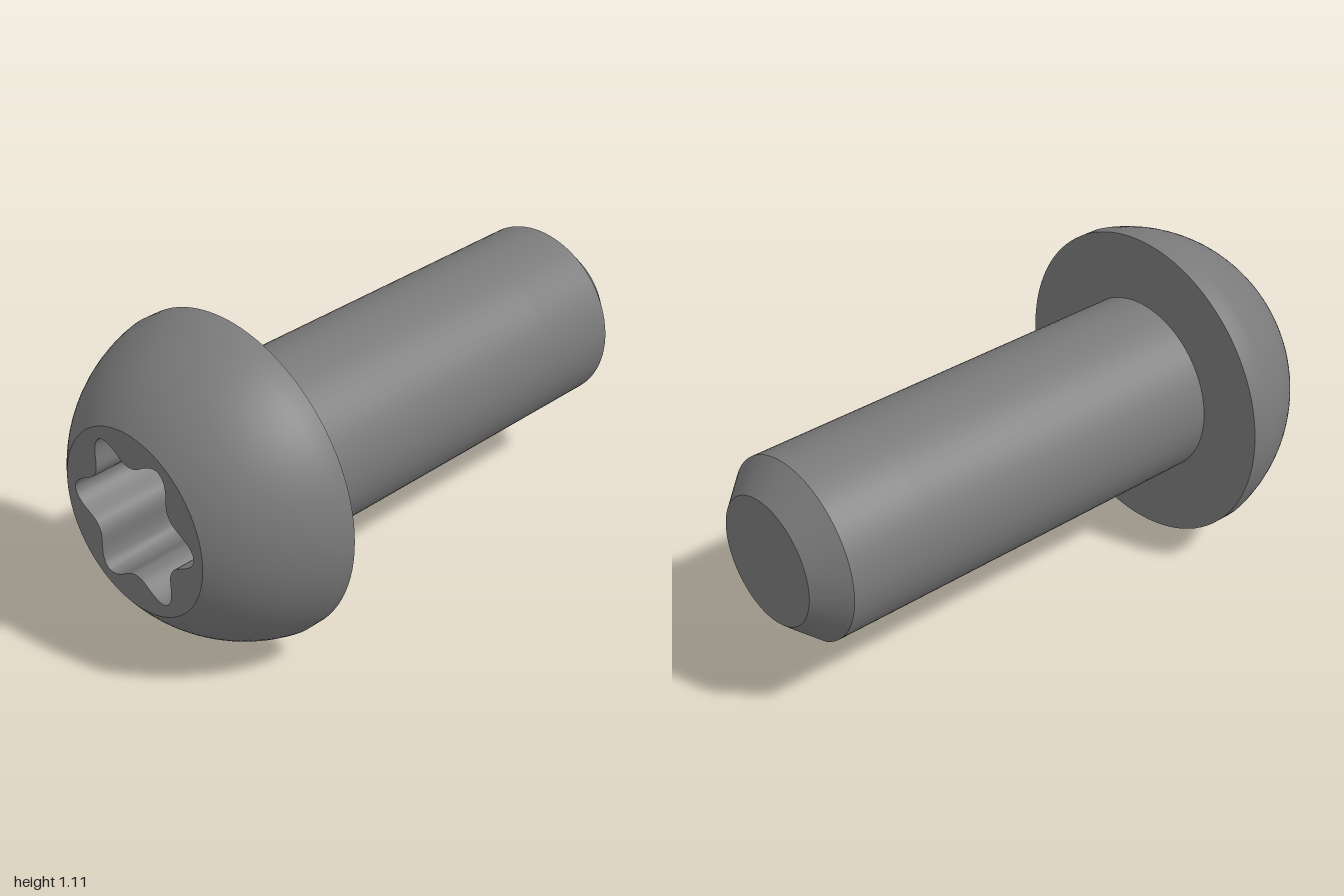
import * as THREE from 'three';
import { toCreasedNormals } from 'three/addons/utils/BufferGeometryUtils.js';

const SHANK_R = 0.317, TIP_R = 0.222, HEAD_R = 0.555, FACE_R = 0.32;
const HEAD_X = -0.595, CHAMFER_X = 0.9;
// elliptical pocket cut upward into the underside of the shank
const POCKET = { x: 0.6, a: 0.4, b: 0.226, top: -0.015 };

// shank radius at a position along the axis
const radiusAt = (x) => x <= CHAMFER_X ? SHANK_R
  : THREE.MathUtils.lerp(SHANK_R, TIP_R, (x - CHAMFER_X) / (1 - CHAMFER_X));

// point on the shank skin; angle is measured from straight down
const skin = (x, angle) => {
  const r = radiusAt(x);
  return [x, -r * Math.cos(angle), r * Math.sin(angle)];
};

// position where the pocket leaves the skin on the tip side
function pocketExit(angle) {
  let lo = POCKET.x, hi = 1;
  for (let i = 0; i < 40; i++) {
    const x = (lo + hi) / 2;
    const f = ((x - POCKET.x) / POCKET.a) ** 2 + (radiusAt(x) * Math.sin(angle) / POCKET.b) ** 2;
    if (f < 1) lo = x; else hi = x;
  }
  return hi;
}

// surface between matching rows of points
function strips(...pairs) {
  const pos = [];
  for (const [a, b] of pairs) {
    for (let i = 0; i < a.length - 1; i++) {
      pos.push(...a[i], ...b[i], ...b[i + 1], ...a[i], ...b[i + 1], ...a[i + 1]);
    }
  }
  const geo = new THREE.BufferGeometry();
  geo.setAttribute('position', new THREE.Float32BufferAttribute(pos, 3));
  geo.computeVertexNormals();
  return toCreasedNormals(geo, 0.5);
}

export function createModel() {
  const steel = new THREE.MeshStandardMaterial({ color: 0x7a7a7a, side: THREE.DoubleSide });
  steel.name = 'dark steel';
  const model = new THREE.Group();
  model.name = 'buttonHeadScrew';
  const add = (name, geo) => {
    const mesh = new THREE.Mesh(geo, steel);
    mesh.name = name;
    model.add(mesh);
  };

  // domed head with a short straight rim and flat underside
  const cx = -0.531, domeR = Math.hypot(FACE_R, -1 - cx);
  const profile = [];
  for (let i = 0; i <= 20; i++) {
    const x = -1 + 0.35 * i / 20;
    profile.push(new THREE.Vector2(Math.min(HEAD_R, Math.sqrt(domeR ** 2 - (x - cx) ** 2)), x));
  }
  profile.push(new THREE.Vector2(HEAD_R, HEAD_X), new THREE.Vector2(SHANK_R - 0.01, HEAD_X));
  add('head', toCreasedNormals(new THREE.LatheGeometry(profile, 96).rotateZ(-Math.PI / 2), 0.5));

  // flat head face with a six-lobed socket
  const face = new THREE.Shape().absarc(0, 0, FACE_R, 0, Math.PI * 2);
  const star = [];
  for (let i = 0; i < 120; i++) {
    const a = i / 120 * Math.PI * 2;
    const r = 0.2 + 0.08 * ((1 + Math.cos(6 * a)) / 2) ** 1.3;
    star.push(new THREE.Vector2(r * Math.cos(a), r * Math.sin(a)));
  }
  face.holes.push(new THREE.Path(star));
  const socket = new THREE.ExtrudeGeometry(face, { depth: 0.3, bevelEnabled: false, curveSegments: 48 });
  add('headFaceAndSocket', toCreasedNormals(socket.rotateY(Math.PI / 2).translate(-1, 0, 0), 0.6));
  add('socketFloor', new THREE.CircleGeometry(0.3, 48).rotateY(-Math.PI / 2).translate(-0.701, 0, 0));

  // columns around the shank: first across the pocket, then the plain remainder
  const N = 64, edge = Math.asin(POCKET.b / SHANK_R);
  const columns = [];
  for (let i = 0; i <= N; i++) {
    const t = (i / N - 0.5) * Math.PI;
    const angle = Math.asin(POCKET.b * Math.sin(t) / SHANK_R);
    const ends = i === 0 || i === N;
    columns.push({
      angle,
      x1: POCKET.x - (ends ? 0 : POCKET.a * Math.cos(t)),
      x2: ends ? POCKET.x : pocketExit(angle),
    });
  }
  const cut = columns.slice();
  for (let i = 1; i <= N; i++) {
    const angle = edge + (Math.PI * 2 - 2 * edge) * i / N;
    columns.push({ angle, x1: POCKET.x, x2: POCKET.x });
  }
  const row = (f) => columns.map((c) => skin(f(c), c.angle));
  const shoulder = row((c) => Math.max(CHAMFER_X, c.x2));
  add('shank', strips([row(() => HEAD_X), row((c) => c.x1)], [row((c) => c.x2), shoulder]));
  add('tipChamfer', strips([shoulder, row(() => 1)]));
  add('tipFace', new THREE.CircleGeometry(TIP_R, 96).rotateY(Math.PI / 2).translate(1, 0, 0));

  // pocket walls and ceiling
  const rim = [
    ...cut.map((c) => skin(c.x1, c.angle)),
    ...cut.slice(0, -1).reverse().map((c) => skin(c.x2, c.angle)),
  ];
  add('pocketWall', strips([rim, rim.map(([x, , z]) => [x, POCKET.top, z])]));
  add('pocketCeiling', new THREE.CircleGeometry(1, 96).scale(POCKET.a, POCKET.b, 1)
    .rotateX(Math.PI / 2).translate(POCKET.x, POCKET.top, 0));

  model.position.y = HEAD_R;
  const root = new THREE.Group();
  root.name = 'screw';
  root.add(model);
  return root;
}
